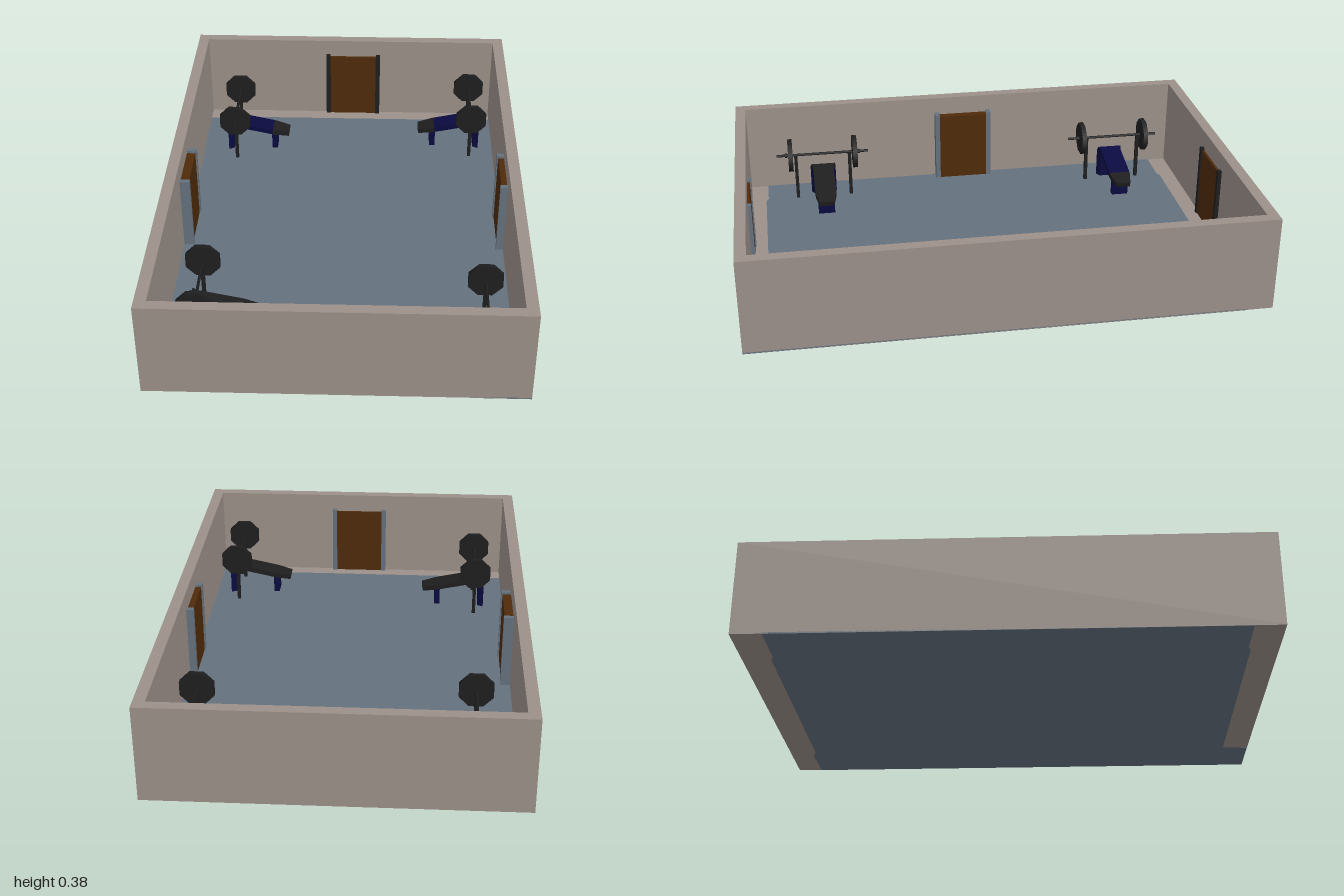
import * as THREE from 'three';

const mat = (name, color) => {
  const m = new THREE.MeshStandardMaterial({ color });
  m.name = name;
  return m;
};

export function createModel() {
  const wallTan = mat('wall tan', 0x9b9089);
  const floorBlue = mat('floor blue grey', 0x64717d);
  const doorBrown = mat('door brown', 0x4e2a09);
  const iron = mat('iron black', 0x1e1e1e);
  const navy = mat('navy', 0x0a0a40);

  const model = new THREE.Group();
  model.name = 'gymRoom';

  const add = (parent, name, geometry, material, x = 0, y = 0, z = 0) => {
    const mesh = new THREE.Mesh(geometry, material);
    mesh.name = name;
    mesh.position.set(x, y, z);
    parent.add(mesh);
    return mesh;
  };
  const box = (parent, name, material, [w, h, d], [x, y, z]) =>
    add(parent, name, new THREE.BoxGeometry(w, h, d), material, x, y, z);
  // Extrudes a plan outline of [x, z] points upward; a hole winds the other way
  const plan = (points, height, hole) => {
    const toVec = ([x, z]) => new THREE.Vector2(x, -z);
    const shape = new THREE.Shape(points.map(toVec));
    if (hole) shape.holes.push(new THREE.Path(hole.map(toVec)));
    return new THREE.ExtrudeGeometry(shape, { depth: height, bevelEnabled: false }).rotateX(-Math.PI / 2);
  };
  const rect = (x, z) => [[-x, z], [x, z], [x, -z], [-x, -z]];

  // Open-topped walls, with a base sheet and the floor covering
  add(model, 'walls', plan(rect(0.7, 1), 0.378, rect(0.655, 0.957).reverse()), wallTan, 0, 0.004, 0);
  add(model, 'baseSheet', plan(rect(0.7, 1), 0.003), wallTan, 0, 0.001, 0);
  add(model, 'floorCovering', plan([
    [-0.7, -0.88], [-0.5, -0.88], [-0.48, -0.89], [0.48, -0.89], [0.52, -0.905], [0.7, -0.9],
    [0.7, 1], [0.49, 1], [0.49, 0.895], [-0.5, 0.895], [-0.52, 0.885], [-0.7, 0.885],
  ], 0.006), floorBlue);

  // Door with its leaf facing local +z, back against the wall
  function door(name, x, z, turn, depth, postMaterial) {
    const g = new THREE.Group();
    g.name = name;
    box(g, 'doorLeaf', doorBrown, [0.225, 0.3, depth], [0, 0.153, depth / 2]);
    for (const s of [-1, 1]) {
      box(g, 'doorPost', postMaterial, [0.02, 0.31, depth + 0.005],
        [s * 0.115, 0.158, (depth + 0.005) / 2]);
    }
    g.position.set(x, 0, z);
    g.rotation.y = turn;
    model.add(g);
  }
  door('leftWallDoor', -0.655, 0, Math.PI / 2, 0.035, floorBlue);
  door('rightWallDoor', 0.655, 0, -Math.PI / 2, 0.024, floorBlue);
  door('backDoor', 0.013, -0.957, 0, 0.01, iron);
  door('frontDoor', 0.013, 0.957, Math.PI, 0.01, floorBlue);

  // Weight bench with its foot toward local +x and the bar above x = 0
  function bench(name, x, z, turn, padMaterial) {
    const g = new THREE.Group();
    g.name = name;

    // Sloping pad, flared at the head, with a tapered seat end
    const pad = new THREE.Group();
    pad.name = 'pad';
    add(pad, 'backPad', plan([
      [-0.006, -0.053], [0.014, -0.045], [0.19, -0.045], [0.19, 0.045], [0.014, 0.045], [-0.006, 0.053],
    ], 0.022), padMaterial);
    add(pad, 'seatPad', plan(
      [[0.19, -0.045], [0.205, -0.044], [0.266, -0.031], [0.266, 0.031], [0.205, 0.044], [0.19, 0.045]],
      0.022), iron);
    pad.position.set(-0.032, 0.122, 0);
    pad.rotation.z = -0.21;
    g.add(pad);

    // Flared head leg and narrower foot leg
    add(g, 'headLeg', plan([[-0.044, -0.055], [-0.02, -0.042], [-0.02, 0.042], [-0.044, 0.055]], 0.126), navy, 0, 0.006, 0);
    box(g, 'footLeg', navy, [0.025, 0.078, 0.07], [0.165, 0.045, 0]);

    // Barbell on two uprights
    const rod = (part, r, length, sides, zz) =>
      add(g, part, new THREE.CylinderGeometry(r, r, length, sides)
        .rotateY(Math.PI / sides).rotateX(Math.PI / 2), iron, 0, 0.21, zz);
    rod('bar', 0.0055, 0.4, 8, 0);
    for (const s of [-1, 1]) {
      rod('weightPlate', 0.071, 0.02, 8, s * 0.14);
      rod('collar', 0.009, 0.012, 8, s * 0.158);
      box(g, 'upright', iron, [0.014, 0.205, 0.014], [0, 0.106, s * 0.117]);
    }
    g.position.set(x, 0, z);
    g.rotation.y = turn;
    model.add(g);
  }
  bench('backLeftBench', -0.5, -0.66, 0, navy);
  bench('backRightBench', 0.547, -0.703, Math.PI, navy);
  bench('frontLeftBench', -0.523, 0.637, 0, iron);
  bench('frontRightBench', 0.547, 0.725, Math.PI, iron);

  return model;
}
